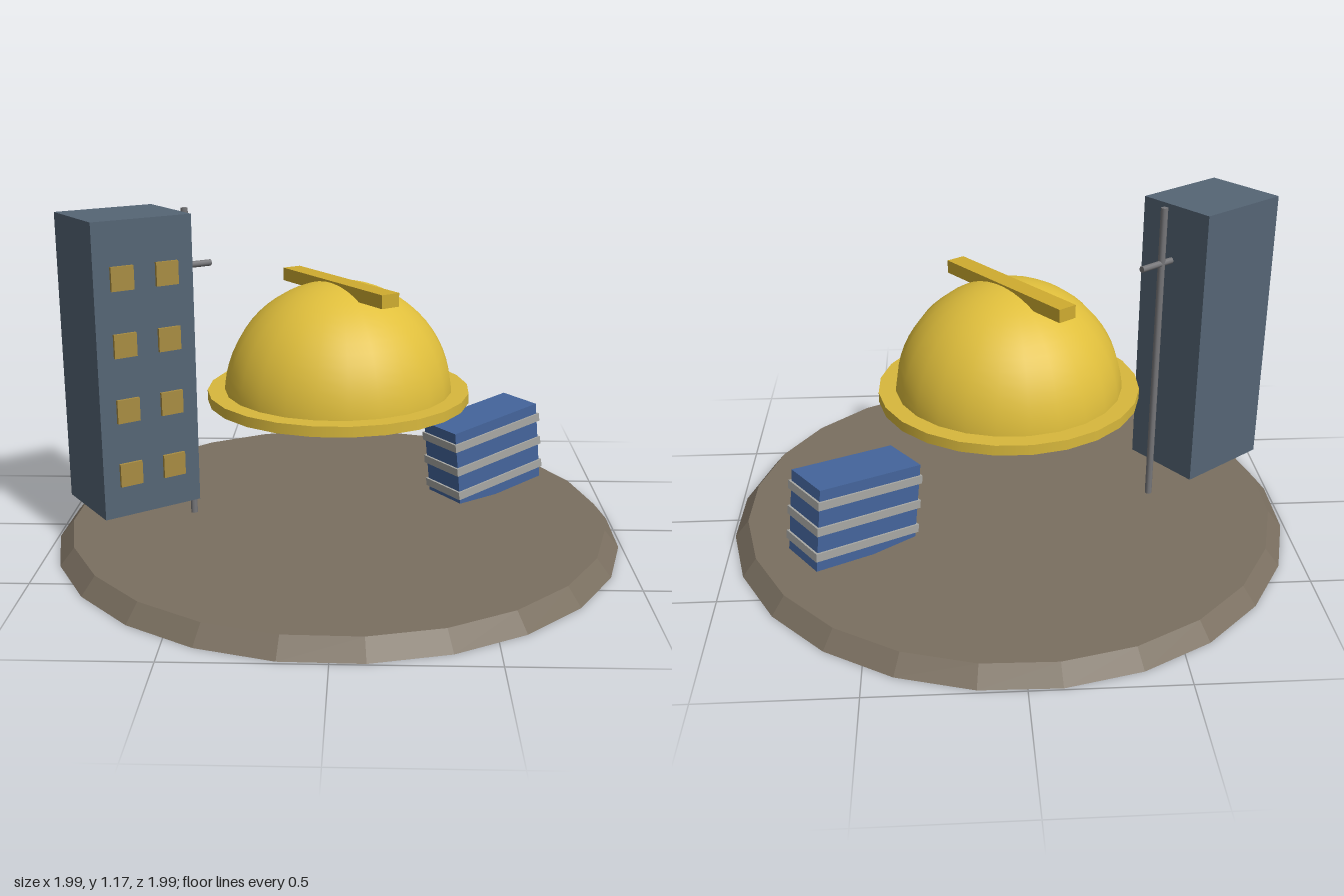
import * as THREE from 'three';

const mat = (color) => new THREE.MeshStandardMaterial({ color });
const flat = (color) => new THREE.MeshStandardMaterial({ color, flatShading: true });

function add(parent, name, geometry, material, x = 0, y = 0, z = 0) {
  const mesh = new THREE.Mesh(geometry, material);
  mesh.name = name;
  mesh.position.set(x, y, z);
  parent.add(mesh);
  return mesh;
}

export function createModel() {
  const model = new THREE.Group();
  model.name = 'floatingHelmetScene';

  // Everything is laid out square, then turned as one
  const scene = new THREE.Group();
  scene.name = 'scene';
  scene.rotation.y = 0.632;
  model.add(scene);

  // Ground disc with a bevelled edge
  add(scene, 'groundDisc', new THREE.CylinderGeometry(0.95, 1, 0.06, 24), flat(0x7a6f60), 0, 0.03, 0);

  // Hard hat: dome, brim, ridge and half-ring strap
  const hat = new THREE.Group();
  hat.name = 'hardHat';
  scene.add(hat);
  const yellow = 0xe0bf3c;
  add(hat, 'dome', new THREE.SphereGeometry(0.4, 24, 16, 0, Math.PI * 2, 0, Math.PI / 2), mat(yellow), 0, 0.515, 0);
  add(hat, 'brim', new THREE.CylinderGeometry(0.46, 0.46, 0.036, 24), mat(0xd8b83c), 0, 0.517, 0);
  add(hat, 'ridge', new THREE.BoxGeometry(0.07, 0.046, 0.6), mat(0xcfac30), 0, 0.897, 0);
  const strap = add(hat, 'strap', new THREE.TorusGeometry(0.325, 0.02, 8, 24, Math.PI), mat(0x2a2620), 0, 0.465, 0);
  strap.rotation.x = -Math.PI / 2;

  // Tower block with two columns of windows on its front
  const tower = new THREE.Group();
  tower.name = 'tower';
  tower.position.set(-0.655, 0, -0.309);
  scene.add(tower);
  add(tower, 'towerBody', new THREE.BoxGeometry(0.355, 1.0, 0.295), mat(0x556575), 0, 0.667, 0);
  const windowGeo = new THREE.BoxGeometry(0.08, 0.08, 0.02);
  const windowMat = mat(0xa88c42);
  for (let row = 0; row < 4; row++) {
    for (const x of [-0.08, 0.08]) {
      add(tower, 'window', windowGeo, windowMat, x, 0.315 + row * 0.2217, 0.148);
    }
  }

  // Pole with a crossbar beside the tower
  const poleMat = mat(0x77777a);
  add(scene, 'pole', new THREE.CylinderGeometry(0.0125, 0.0125, 1.11, 8), poleMat, -0.43, 0.613, -0.3);
  const bar = add(scene, 'crossbar', new THREE.CylinderGeometry(0.0115, 0.0115, 0.19, 8), poleMat, -0.43, 0.97, -0.3);
  bar.rotation.z = Math.PI / 2;

  // Tilted crate sunk into the ground, with three bands
  const crate = new THREE.Group();
  crate.name = 'tiltedCrate';
  crate.position.set(0.6, 0.212, 0.102);
  crate.rotation.z = 0.12;
  scene.add(crate);
  add(crate, 'crateBody', new THREE.BoxGeometry(0.4, 0.3, 0.18), mat(0x44659c));
  for (const y of [-0.095, 0, 0.095]) {
    add(crate, 'band', new THREE.BoxGeometry(0.415, 0.03, 0.194), mat(0xa8a8a4), 0, y, 0);
  }

  return model;
}
